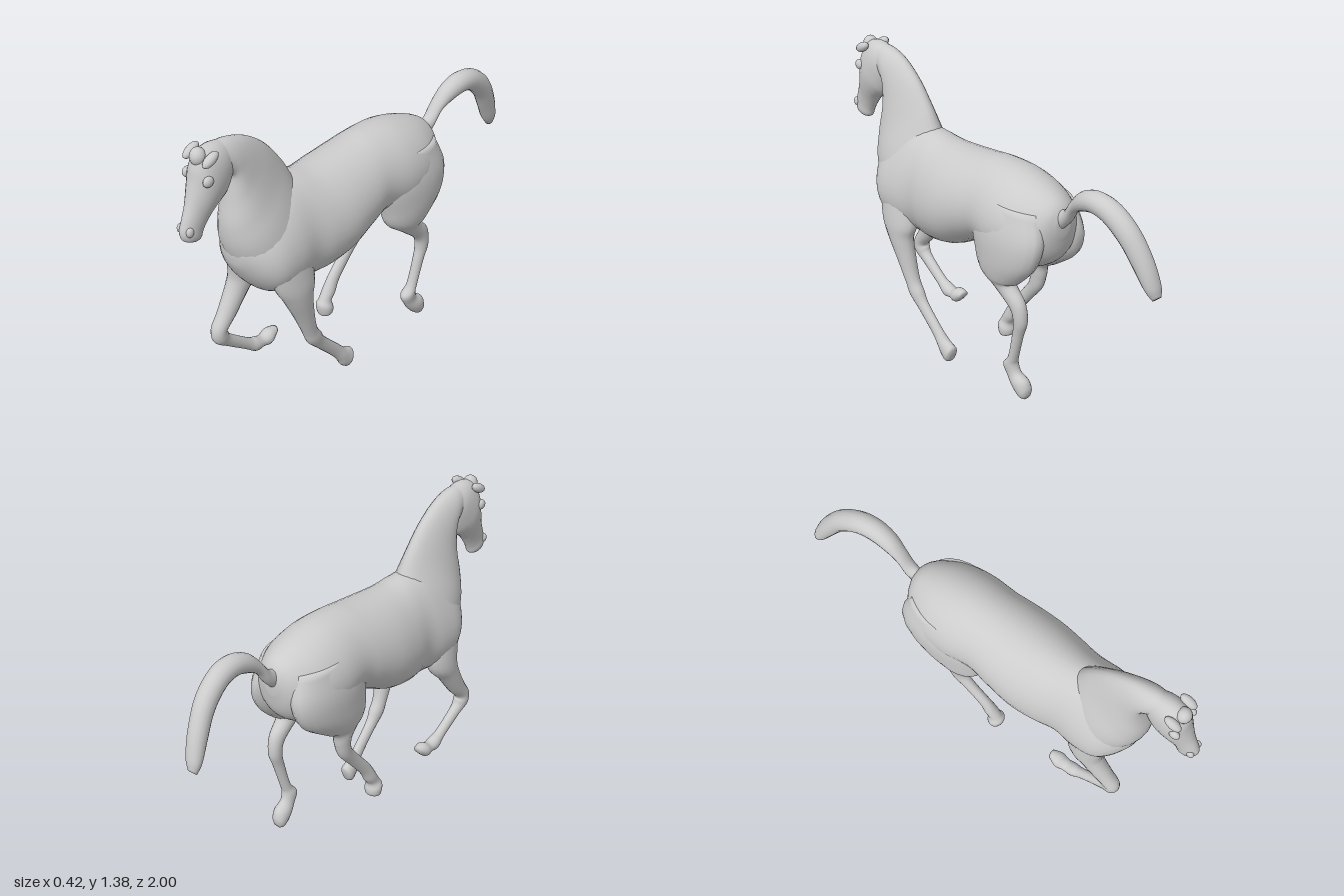
import * as THREE from 'three';

const material = new THREE.MeshStandardMaterial({ color: 0xcccccc });

// Smooth skin over cross-sections [zA, yA, zB, yB, x, halfWidth, taper]:
// A and B are opposite edges of a section, taper narrows it toward A.
function loft(name, rows, sides = 24, steps = 5) {
  const curve = (f) => new THREE.CatmullRomCurve3(rows.map((r) => new THREE.Vector3(...f(r))), false, 'catmullrom', 0.5);
  const edgeA = curve((r) => [r[4], r[1], r[0]]);
  const edgeB = curve((r) => [r[4], r[3], r[2]]);
  const size = curve((r) => [r[5], r[6] || 0, 0]);
  const n = (rows.length - 1) * steps;
  const pos = [], index = [];
  for (let i = 0; i <= n; i++) {
    const a = edgeA.getPoint(i / n), b = edgeB.getPoint(i / n), s = size.getPoint(i / n);
    const c = a.clone().add(b).multiplyScalar(0.5), d = a.clone().sub(b).multiplyScalar(0.5);
    for (let j = 0; j < sides; j++) {
      const t = (j / sides) * Math.PI * 2, sin = Math.sin(t);
      pos.push(c.x + s.x * Math.cos(t) * (1 - s.y * sin), c.y + d.y * sin, c.z + d.z * sin);
      if (i < n) {
        const k = (j + 1) % sides, p = i * sides, q = p + sides;
        index.push(p + j, p + k, q + k, p + j, q + k, q + j);
      }
    }
  }
  // End caps
  for (const i of [0, n]) {
    const a = edgeA.getPoint(i / n), b = edgeB.getPoint(i / n);
    const centre = pos.length / 3;
    pos.push((a.x + b.x) / 2, (a.y + b.y) / 2, (a.z + b.z) / 2);
    for (let j = 0; j < sides; j++) {
      const p = i * sides + j, q = i * sides + ((j + 1) % sides);
      if (i) index.push(centre, p, q);
      else index.push(centre, q, p);
    }
  }
  const geo = new THREE.BufferGeometry();
  geo.setAttribute('position', new THREE.Float32BufferAttribute(pos, 3));
  geo.setIndex(index);
  geo.computeVertexNormals();
  const mesh = new THREE.Mesh(geo, material);
  mesh.name = name;
  return mesh;
}

function blob(name, x, y, z, rx, ry, rz, tilt = 0) {
  const mesh = new THREE.Mesh(new THREE.SphereGeometry(1, 14, 10), material);
  mesh.name = name;
  mesh.position.set(x, y, z);
  mesh.scale.set(rx, ry, rz);
  mesh.rotation.x = tilt;
  return mesh;
}

export function createModel() {
  const horse = new THREE.Group();
  horse.name = 'gallopingHorse';

  // Trunk sections: z, top, bottom, half width, taper
  const trunk = [
    [-0.465, 0.95, 0.86, 0.035, 0], [-0.44, 0.995, 0.76, 0.095, 0], [-0.39, 1.03, 0.7, 0.145, 0.05],
    [-0.3, 1.065, 0.66, 0.19, 0.08], [-0.18, 1.09, 0.66, 0.203, 0.1], [-0.05, 1.09, 0.69, 0.192, 0.1],
    [0.05, 1.077, 0.655, 0.203, 0.1], [0.18, 1.063, 0.59, 0.212, 0.1], [0.3, 1.058, 0.562, 0.2, 0.12],
    [0.4, 1.07, 0.56, 0.182, 0.15], [0.5, 1.07, 0.56, 0.188, 0.25], [0.6, 1.02, 0.585, 0.183, 0.25],
    [0.67, 0.97, 0.65, 0.145, 0.2], [0.725, 0.92, 0.74, 0.08, 0.1], [0.74, 0.88, 0.8, 0.03, 0],
  ];
  horse.add(loft('trunk', trunk.map(([z, top, low, w, k]) => [z, top, z, low, 0, w, k]), 36));

  // Neck from crest to throat
  horse.add(loft('neck', [
    [0.34, 0.95, 0.66, 0.64, 0, 0.17, 0.2], [0.4, 1.07, 0.745, 0.82, 0, 0.14, 0.3],
    [0.45, 1.16, 0.765, 0.95, 0, 0.107, 0.3], [0.535, 1.265, 0.75, 1.06, 0, 0.083, 0.25],
    [0.635, 1.338, 0.738, 1.14, 0, 0.072, 0.2], [0.73, 1.37, 0.735, 1.19, 0, 0.066, 0.1],
    [0.8, 1.375, 0.76, 1.21, 0, 0.055],
  ], 28));

  // Head from poll to muzzle
  horse.add(loft('head', [
    [0.76, 1.372, 0.72, 1.25, 0, 0.045], [0.83, 1.38, 0.735, 1.2, 0, 0.064],
    [0.89, 1.362, 0.765, 1.14, 0, 0.072], [0.92, 1.31, 0.8, 1.115, 0, 0.073],
    [0.935, 1.24, 0.84, 1.085, 0, 0.064], [0.96, 1.15, 0.87, 1.045, 0, 0.047],
    [0.985, 1.085, 0.89, 1.01, 0, 0.039], [1.0, 1.035, 0.9, 0.985, 0, 0.037],
    [0.993, 1.0, 0.915, 0.975, 0, 0.028], [0.975, 0.985, 0.93, 0.975, 0, 0.012],
  ]));

  // Forelock, ears, eyes, nostrils
  horse.add(blob('forelock', 0, 1.345, 0.89, 0.035, 0.04, 0.035));
  for (const side of [-1, 1]) {
    horse.add(blob('ear', side * 0.058, 1.345, 0.875, 0.022, 0.022, 0.045, 0.5));
    horse.add(blob('eye', side * 0.062, 1.255, 0.895, 0.017, 0.024, 0.026));
    horse.add(blob('nostril', side * 0.028, 1.04, 0.975, 0.014, 0.022, 0.018));
  }

  // Raised, arched tail (underside edge first)
  horse.add(loft('tail', [
    [-0.44, 0.87, -0.44, 0.97, 0, 0.03], [-0.5, 0.93, -0.485, 0.995, 0, 0.033],
    [-0.545, 0.995, -0.53, 1.055, 0.005, 0.035], [-0.61, 1.03, -0.59, 1.115, 0.012, 0.044],
    [-0.68, 1.045, -0.68, 1.143, 0.015, 0.049], [-0.75, 1.025, -0.785, 1.122, 0.01, 0.05],
    [-0.83, 0.955, -0.885, 1.045, -0.003, 0.049], [-0.89, 0.86, -0.955, 0.93, -0.022, 0.046],
    [-0.935, 0.785, -0.992, 0.82, -0.037, 0.04], [-0.97, 0.74, -0.998, 0.765, -0.045, 0.022],
  ], 16));

  // Left foreleg, reaching down and back
  horse.add(loft('leftForeleg', [
    [0.66, 0.82, 0.42, 0.8, 0.115, 0.06], [0.62, 0.64, 0.4, 0.63, 0.135, 0.063],
    [0.57, 0.545, 0.42, 0.55, 0.145, 0.052], [0.505, 0.425, 0.41, 0.44, 0.14, 0.042],
    [0.455, 0.32, 0.39, 0.35, 0.135, 0.034], [0.43, 0.265, 0.36, 0.3, 0.133, 0.033],
    [0.37, 0.205, 0.33, 0.25, 0.13, 0.025], [0.275, 0.11, 0.24, 0.16, 0.125, 0.023],
    [0.235, 0.06, 0.195, 0.115, 0.122, 0.029], [0.215, 0.025, 0.165, 0.1, 0.12, 0.031],
    [0.185, 0.003, 0.145, 0.085, 0.118, 0.032], [0.165, 0.01, 0.147, 0.055, 0.118, 0.018],
  ], 16));

  // Right foreleg, folded at the knee
  horse.add(loft('rightForeleg', [
    [0.67, 0.82, 0.45, 0.8, -0.115, 0.06], [0.635, 0.62, 0.46, 0.6, -0.132, 0.06],
    [0.645, 0.54, 0.54, 0.5, -0.137, 0.05], [0.7, 0.43, 0.62, 0.395, -0.137, 0.041],
    [0.743, 0.355, 0.668, 0.345, -0.137, 0.037], [0.735, 0.29, 0.665, 0.325, -0.137, 0.035],
    [0.675, 0.245, 0.645, 0.295, -0.136, 0.026], [0.565, 0.17, 0.54, 0.218, -0.135, 0.024],
    [0.51, 0.132, 0.5, 0.2, -0.135, 0.032], [0.465, 0.135, 0.46, 0.188, -0.135, 0.03],
    [0.425, 0.13, 0.42, 0.205, -0.135, 0.037], [0.385, 0.165, 0.375, 0.2, -0.135, 0.022],
  ], 16));

  // Left hind leg, pushing off behind
  horse.add(loft('leftHindLeg', [
    [-0.06, 0.98, -0.41, 0.96, 0.09, 0.08], [-0.02, 0.84, -0.45, 0.83, 0.115, 0.09],
    [-0.05, 0.72, -0.415, 0.71, 0.125, 0.082], [-0.085, 0.635, -0.32, 0.61, 0.127, 0.066],
    [-0.18, 0.56, -0.285, 0.59, 0.125, 0.045], [-0.275, 0.48, -0.345, 0.52, 0.12, 0.035],
    [-0.293, 0.42, -0.36, 0.43, 0.117, 0.031], [-0.28, 0.35, -0.335, 0.35, 0.115, 0.025],
    [-0.25, 0.23, -0.297, 0.225, 0.11, 0.025], [-0.213, 0.175, -0.29, 0.188, 0.106, 0.032],
    [-0.235, 0.125, -0.305, 0.15, 0.102, 0.03], [-0.27, 0.075, -0.345, 0.125, 0.098, 0.038],
    [-0.315, 0.035, -0.36, 0.09, 0.095, 0.033], [-0.342, 0.033, -0.358, 0.06, 0.095, 0.018],
  ], 20));

  // Right hind leg, swinging forward
  horse.add(loft('rightHindLeg', [
    [-0.06, 0.98, -0.41, 0.96, -0.09, 0.08], [-0.01, 0.84, -0.45, 0.83, -0.115, 0.09],
    [-0.01, 0.72, -0.41, 0.71, -0.125, 0.082], [-0.025, 0.645, -0.28, 0.61, -0.13, 0.066],
    [-0.07, 0.59, -0.215, 0.57, -0.132, 0.046], [-0.11, 0.535, -0.2, 0.51, -0.133, 0.036],
    [-0.11, 0.47, -0.175, 0.44, -0.133, 0.031], [-0.06, 0.4, -0.11, 0.365, -0.133, 0.025],
    [0.02, 0.305, -0.03, 0.27, -0.133, 0.025], [0.06, 0.24, 0.0, 0.215, -0.133, 0.03],
    [0.085, 0.195, 0.025, 0.18, -0.133, 0.03], [0.1, 0.165, 0.02, 0.145, -0.133, 0.042],
    [0.09, 0.115, 0.025, 0.12, -0.133, 0.036], [0.07, 0.108, 0.045, 0.11, -0.133, 0.015],
  ], 20));

  return horse;
}
